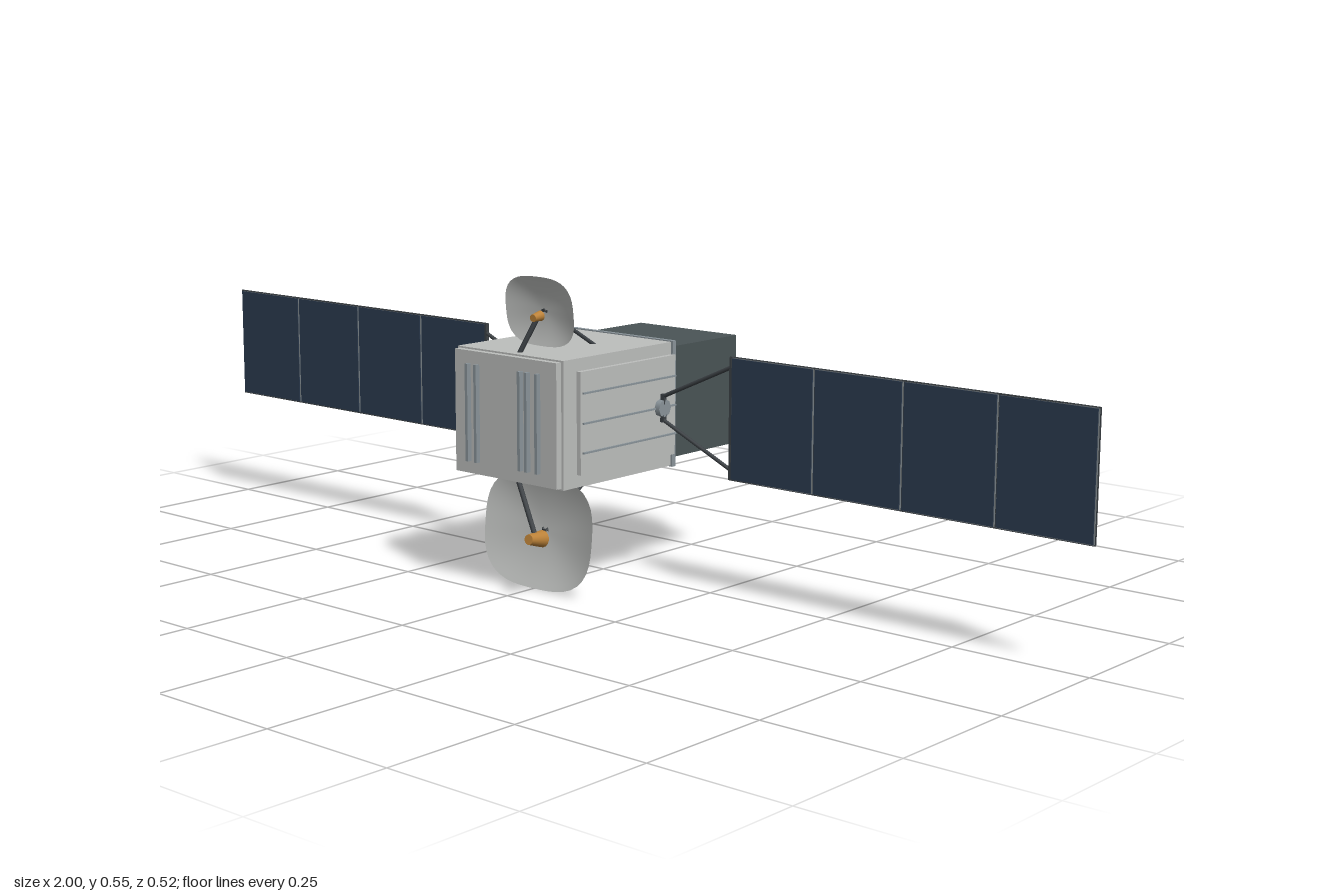
import * as THREE from 'three';

const mat = (name, color, side = THREE.FrontSide) => {
  const m = new THREE.MeshStandardMaterial({ color, side });
  m.name = name;
  return m;
};

export function createModel() {
  const hull = mat('hullGrey', 0xbdbfbd);
  const dishMat = mat('dishGrey', 0xbdbfbd, THREE.DoubleSide);
  const steel = mat('steel', 0x8a949a, THREE.DoubleSide);
  const slate = mat('slate', 0x4a5456);
  const dark = mat('darkStrut', 0x3c4145);
  const cell = mat('solarBlue', 0x2b3b50);
  const backing = mat('panelBack', 0x737b80);
  const copper = mat('copper', 0xbc8238);

  const root = new THREE.Group();
  root.name = 'satellite';
  const add = (parent, name, geo, material, x = 0, y = 0, z = 0) => {
    const m = new THREE.Mesh(geo, material);
    m.name = name;
    m.position.set(x, y, z);
    parent.add(m);
    return m;
  };
  const box = (parent, name, material, size, pos) =>
    add(parent, name, new THREE.BoxGeometry(...size), material, ...pos);
  // Rod (or cone) between two points
  const rod = (parent, name, material, a, b, r0, r1 = r0, sides = 8) => {
    const A = new THREE.Vector3(...a), B = new THREE.Vector3(...b);
    const d = B.clone().sub(A);
    const m = add(parent, name, new THREE.CylinderGeometry(r1, r0, d.length(), sides), material);
    m.position.copy(A).add(B).multiplyScalar(0.5);
    m.quaternion.setFromUnitVectors(new THREE.Vector3(0, 1, 0), d.normalize());
    return m;
  };
  const group = (name) => {
    const g = new THREE.Group();
    g.name = name;
    root.add(g);
    return g;
  };
  const midY = 0.318;

  // Main body with front plate, rear flange and service module
  const body = group('body');
  box(body, 'mainBody', hull, [0.25, 0.222, 0.285], [0, midY, 0.0975]);
  box(body, 'frontPlate', hull, [0.24, 0.216, 0.012], [0, midY, 0.246]);
  box(body, 'rearFlange', steel, [0.258, 0.226, 0.009], [0, midY, -0.0435]);
  box(body, 'serviceModule', slate, [0.23, 0.2, 0.187], [0, midY, -0.1415]);

  // Vertical fins on the front plate
  for (const x of [-0.085, -0.064, 0.04, 0.056, 0.08])
    box(body, 'frontFin', steel, [0.006, 0.172, 0.01], [x, midY, 0.256]);

  // Side panels with long ribs
  for (const s of [-1, 1]) {
    box(body, 'sidePanel', hull, [0.01, 0.178, 0.247], [s * 0.129, midY, 0.0835]);
    for (const y of [0.267, midY, 0.37])
      box(body, 'sideRib', steel, [0.005, 0.003, 0.242], [s * 0.135, y, 0.081]);
  }

  // Rear docking ring: stepped tube with a recessed centre
  const ringProfile = [
    [0.086, 0], [0.086, 0.026], [0.066, 0.026], [0.062, 0.01],
    [0.05, 0.01], [0.046, 0.003], [0, 0.003],
  ];
  const ringGeo = new THREE.LatheGeometry(
    ringProfile.map(([r, y]) => new THREE.Vector2(r, y)), 32).toNonIndexed();
  ringGeo.computeVertexNormals();
  add(body, 'dockingRing', ringGeo, steel, 0, midY, -0.234).rotation.x = -Math.PI / 2;

  // Solar wings, mirrored left and right
  const panelW = 0.1775, panelH = 0.213;
  for (const s of [-1, 1]) {
    const wing = group(s > 0 ? 'leftWing' : 'rightWing');
    const hub = add(wing, 'wingHub', new THREE.CylinderGeometry(0.016, 0.016, 0.014, 8), steel, s * 0.138, midY, 0);
    hub.rotation.z = Math.PI / 2;
    box(wing, 'yokeBar', dark, [0.008, 0.05, 0.007], [s * 0.141, midY, 0]);
    for (const v of [-1, 1])
      rod(wing, 'yokeStrut', dark, [s * 0.141, midY + v * 0.021, 0], [s * 0.292, midY + v * 0.089, 0], 0.0035);
    box(wing, 'innerEdge', dark, [0.005, panelH, 0.007], [s * 0.2925, midY, -0.0005]);
    for (let i = 0; i < 4; i++) {
      const x = s * (0.29 + (i + 0.5) * panelW);
      box(wing, 'panelBacking', backing, [panelW - 0.003, panelH, 0.003], [x, midY, -0.0005]);
      box(wing, 'solarCells', cell, [panelW - 0.005, panelH - 0.003, 0.0015], [x, midY, 0.00175]);
      // Hinge bars between panels and at the tip
      const edge = 0.29 + (i + 1) * panelW - (i === 3 ? 0.0035 : 0);
      box(wing, 'hingeBar', dark, [0.007, panelH, 0.002], [s * edge, midY, -0.003]);
      // Dashed stitching on the back
      for (const v of [-1, 1])
        for (let k = 0; k < 9; k++)
          box(wing, 'backDash', dark, [0.009, 0.003, 0.001],
            [x + (k - 4) * 0.0185, midY + v * 0.075, -0.0024]);
    }
    for (const v of [-1, 1])
      box(wing, 'wingEdge', dark, [0.71, 0.002, 0.004], [s * 0.645, midY + v * 0.1065, -0.001]);
  }

  // Rounded-square shallow bowl opening toward +z
  const dishGeometry = (halfW, halfH, depth) => {
    const geo = new THREE.RingGeometry(0.0001, 1, 48, 10);
    const p = geo.attributes.position;
    for (let i = 0; i < p.count; i++) {
      const r = Math.hypot(p.getX(i), p.getY(i));
      const c = p.getX(i) / r, s = p.getY(i) / r;
      const k = r / Math.pow(Math.abs(c) ** 3 + Math.abs(s) ** 3, 1 / 3);
      p.setXYZ(i, c * k * halfW, s * k * halfH, depth * r * r);
    }
    geo.computeVertexNormals();
    return geo;
  };

  // Antenna: dish, two rear braces, feed boom and feed horn
  const antenna = (name, o) => {
    const g = group(name);
    const dish = add(g, 'dish', dishGeometry(...o.size), dishMat, ...o.apex);
    dish.rotation.x = o.tilt;
    add(dish, 'dishCentre', new THREE.CylinderGeometry(0.003, 0.003, 0.003, 8), dark, 0, 0, 0.001)
      .rotation.x = Math.PI / 2;
    for (const s of [-1, 1])
      rod(g, 'dishBrace', dark, [s * 0.004, o.apex[1], o.apex[2]], [s * 0.04, ...o.brace], 0.0035);
    rod(g, 'feedBoom', dark, o.boom[0], o.boom[1], 0.0045);
    rod(g, 'feedHorn', copper, o.horn[0], o.horn[1], o.hornR[0], o.hornR[1], 16);
  };
  antenna('upperAntenna', {
    size: [0.08, 0.0615, 0.0125], apex: [0, 0.494, 0.153], tilt: 0.107,
    brace: [0.425, 0.064],
    boom: [[0.004, 0.425, 0.221], [0.029, 0.487, 0.202]],
    horn: [[0.028, 0.491, 0.192], [0.03, 0.489, 0.213]], hornR: [0.009, 0.0065],
  });
  antenna('lowerAntenna', {
    size: [0.128, 0.102, 0.02], apex: [0, 0.103, 0.153], tilt: -0.103,
    brace: [0.212, 0.061],
    boom: [[0.005, 0.212, 0.228], [0.051, 0.114, 0.232]],
    horn: [[0.05, 0.107, 0.214], [0.053, 0.1125, 0.251]], hornR: [0.015, 0.009],
  });

  return root;
}
